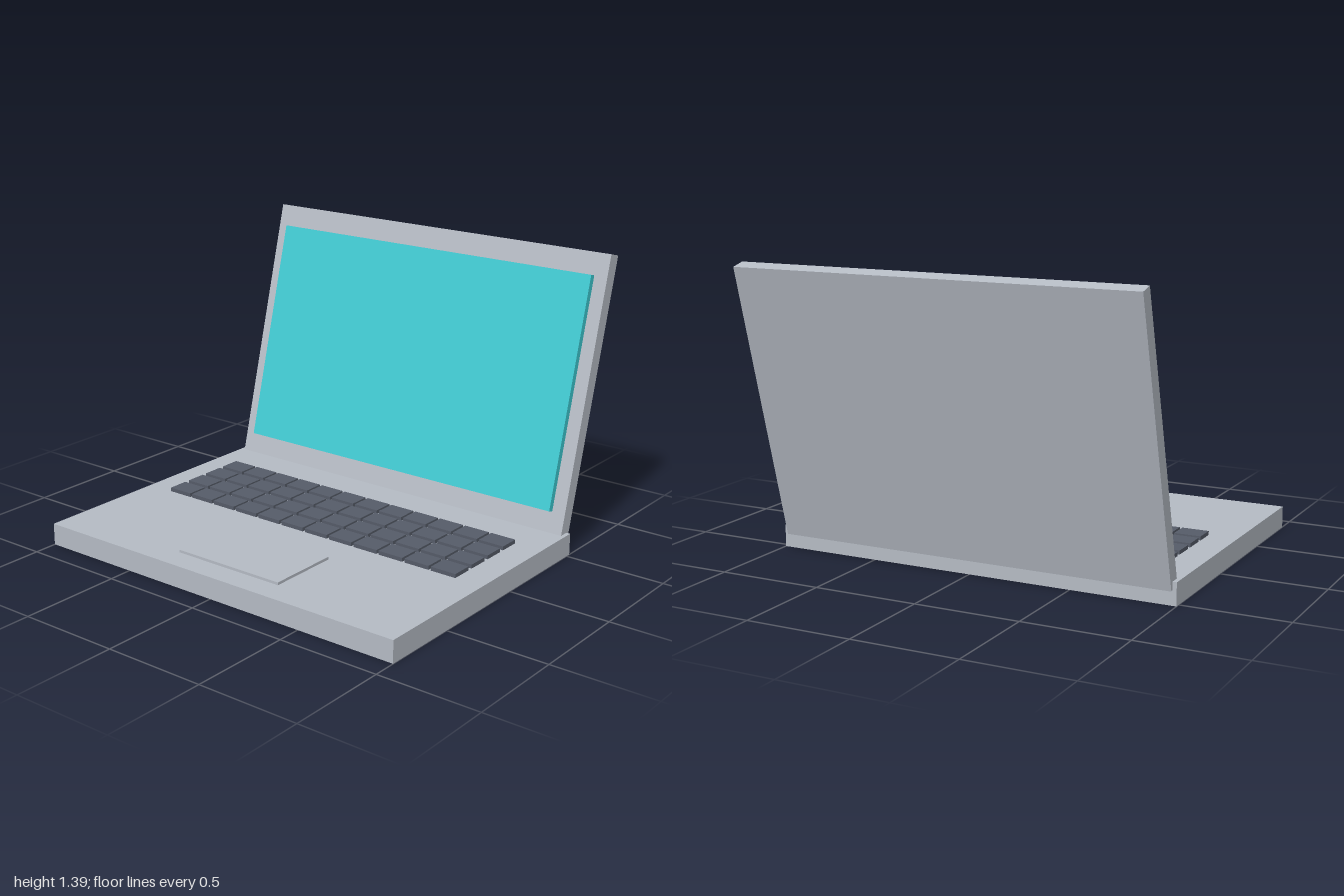
import * as THREE from 'three';

const material = (name, color) => {
  const m = new THREE.MeshStandardMaterial({ color });
  m.name = name;
  return m;
};

export function createModel() {
  const casing = material('casing grey', 0xb4bac3);
  const keyDark = material('key dark grey', 0x555b68);
  const cyan = material('screen cyan', 0x3cc8d0);

  const box = (name, mat, size, position, parent) => {
    const mesh = new THREE.Mesh(new THREE.BoxGeometry(...size), mat);
    mesh.name = name;
    mesh.position.set(...position);
    parent.add(mesh);
    return mesh;
  };

  const model = new THREE.Group();
  model.name = 'laptop';

  // Lower body and the raised touch pad
  const baseTop = 0.106;
  box('base', casing, [2, baseTop, 1.41], [0, baseTop / 2, 0.18], model);
  box('touchPad', casing, [0.585, 0.02, 0.355], [0, 0.109, 0.588], model);

  // Keyboard: four rows of twelve keys
  const keyboard = new THREE.Group();
  keyboard.name = 'keyboard';
  model.add(keyboard);
  for (let row = 0; row < 4; row++) {
    for (let col = 0; col < 12; col++) {
      box('key', keyDark, [0.131, 0.03, 0.104],
        [(col - 5.5) * 0.144, 0.11, -0.215 + row * 0.13], keyboard);
    }
  }

  // Lid leaning back, with the screen standing proud of its front face
  const lid = new THREE.Group();
  lid.name = 'lid';
  lid.position.set(0, 0.7275, -0.677);
  lid.rotation.x = -Math.PI / 12;
  model.add(lid);
  box('lidPanel', casing, [1.96, 1.353, 0.068], [0, 0, 0], lid);
  box('screen', cyan, [1.824, 1.119, 0.03], [0, 0.0095, 0.049], lid);

  return model;
}
